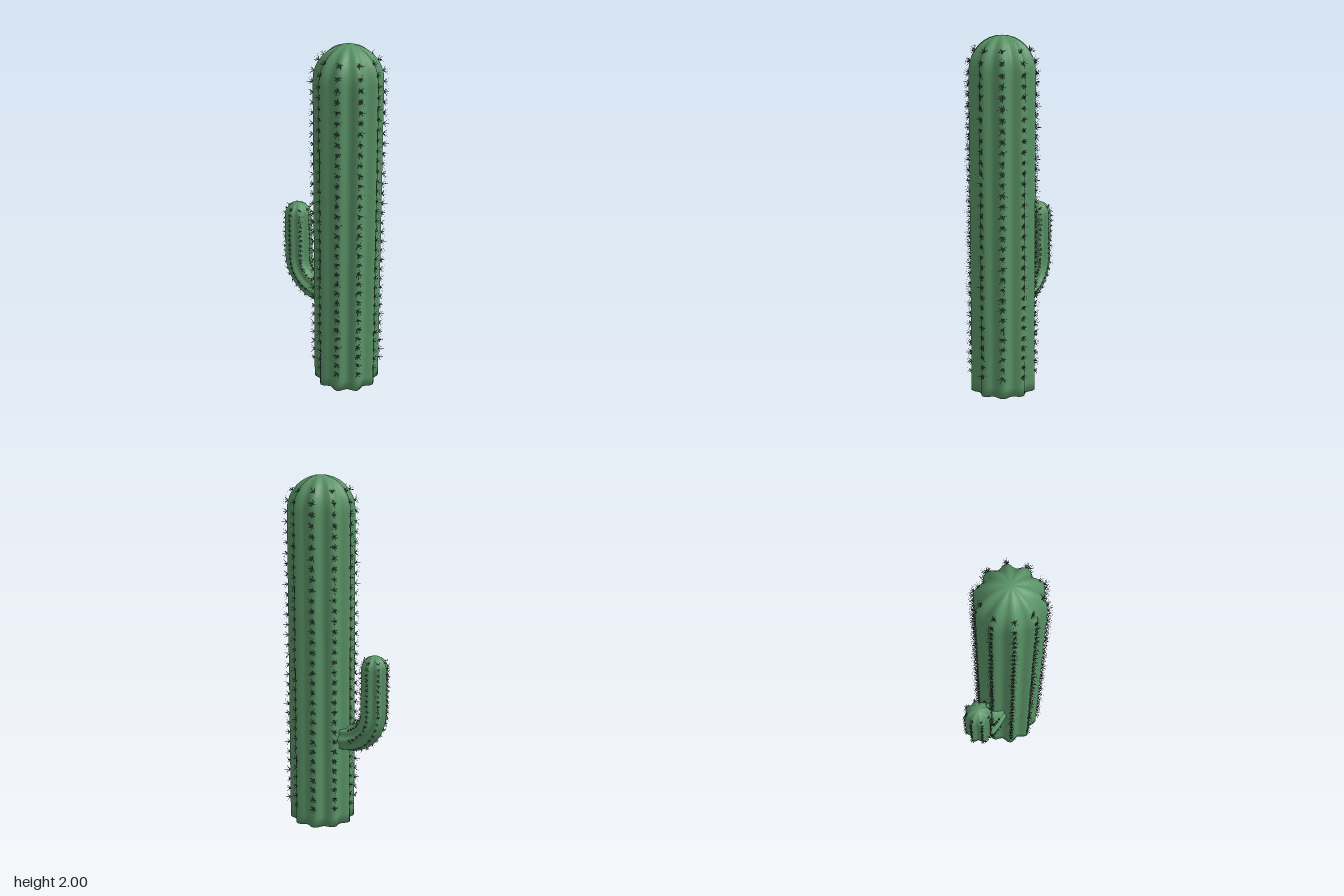
import * as THREE from 'three';
import { mergeGeometries, mergeVertices } from 'three/addons/utils/BufferGeometryUtils.js';

const SEG = 6; // facets per rib

// Straight upright axis of the trunk
const trunk = {
  length: 2, radius: 0.188, ribs: 10, valley: 0.85,
  axis: s => ({ p: new THREE.Vector3(0.107, s, 0), t: new THREE.Vector3(0, 1, 0) }),
};

// Arm axis: out of the trunk, quarter bend, then straight up
const BEND = 0.18, OUT = 0.06, ARC = BEND * Math.PI / 2;
const arm = {
  length: OUT + ARC + 0.33, radius: 0.077, ribs: 8, valley: 0.83,
  axis: s => {
    const a = THREE.MathUtils.clamp((s - OUT) / BEND, 0, Math.PI / 2);
    const t = new THREE.Vector3(-Math.cos(a), Math.sin(a), 0);
    const p = new THREE.Vector3(-OUT - BEND * Math.sin(a), 0.7 - BEND * Math.cos(a), 0);
    const extra = s < OUT ? s - OUT : Math.max(0, s - OUT - ARC);
    return { p: p.addScaledVector(t, extra), t };
  },
};

// Cross-section radius at distance s: constant, then a hemispherical tip
const domeRise = (stalk, s) => Math.max(0, s - (stalk.length - stalk.radius));
const radiusAt = (stalk, s) => Math.sqrt(Math.max(0, stalk.radius ** 2 - domeRise(stalk, s) ** 2));

// Direction around the axis at angle a
function radial(t, a) {
  return new THREE.Vector3(t.y * Math.cos(a), -t.x * Math.cos(a), Math.sin(a));
}

// Fluted skin, closed at both ends
function ribbedSkin(stalk) {
  const { length, radius, ribs, valley } = stalk;
  const rings = [[0, 0]], straight = length - radius;
  const steps = Math.ceil(straight / (radius * 0.3));
  for (let i = 0; i <= steps; i++) rings.push([straight * i / steps, radius]);
  for (let i = 1; i <= 8; i++) {
    const a = i / 8 * Math.PI / 2;
    rings.push([straight + radius * Math.sin(a), i === 8 ? 0 : radius * Math.cos(a)]);
  }
  const n = ribs * SEG, pos = [], index = [];
  rings.forEach(([s, r], i) => {
    const { p, t } = stalk.axis(s);
    for (let j = 0; j < n; j++) {
      const a = j / n * Math.PI * 2;
      const flute = (1 + valley) / 2 + (1 - valley) / 2 * Math.cos(a * ribs);
      pos.push(...radial(t, a).multiplyScalar(r * flute).add(p).toArray());
      if (i === rings.length - 1) continue;
      const k = (j + 1) % n, A = i * n + j, B = i * n + k;
      if (i < rings.length - 2) index.push(B, A + n, B + n);
      if (i > 0) index.push(A, A + n, B);
    }
  });
  let geo = new THREE.BufferGeometry();
  geo.setAttribute('position', new THREE.Float32BufferAttribute(pos, 3));
  geo.setIndex(index);
  geo = mergeVertices(geo, 1e-5);
  geo.computeVertexNormals();
  return geo;
}

// Bundle of thin needles fanning around +y, slightly irregular
function spineCluster(size, random) {
  const needles = [];
  const count = 10;
  for (let i = 0; i < count; i++) {
    const len = size * (i === 0 ? 1 : 0.75 + 0.3 * random());
    const cone = new THREE.ConeGeometry(size * 0.045, len, 3, 1, true);
    cone.translate(0, len / 2, 0);
    cone.rotateZ(i === 0 ? 0 : 0.5 + 0.7 * random());
    cone.rotateY(i / (count - 1) * Math.PI * 2 + random() * 0.4);
    needles.push(cone);
  }
  return mergeGeometries(needles);
}

// Rows of clusters along every rib crest
function spines(stalk, start, end, gap, size) {
  let seed = 7;
  const random = () => (seed = (seed * 16807) % 2147483647) / 2147483647;
  const variants = Array.from({ length: 5 }, () => spineCluster(size, random));
  const up = new THREE.Vector3(0, 1, 0), one = new THREE.Vector3(1, 1, 1), parts = [];
  for (let s = start; s <= end; s += gap) {
    const { p, t } = stalk.axis(s), r = radiusAt(stalk, s);
    for (let k = 0; k < stalk.ribs; k++) {
      const dir = radial(t, k / stalk.ribs * Math.PI * 2);
      const base = p.clone().addScaledVector(dir, r * 0.99);
      const normal = dir.multiplyScalar(r).addScaledVector(t, domeRise(stalk, s)).normalize();
      const turn = new THREE.Quaternion().setFromUnitVectors(up, normal);
      const m = new THREE.Matrix4().compose(base, turn, one);
      parts.push(variants[Math.floor(random() * 5)].clone().applyMatrix4(m));
    }
  }
  return mergeGeometries(parts);
}

export function createModel() {
  const group = new THREE.Group();
  group.name = 'cactus';
  const green = new THREE.MeshStandardMaterial({ color: 0x5a9367 });
  const dark = new THREE.MeshStandardMaterial({ color: 0x444448 });
  const add = (name, geo, mat) => {
    const mesh = new THREE.Mesh(geo, mat);
    mesh.name = name;
    group.add(mesh);
  };
  add('trunk', ribbedSkin(trunk), green);
  add('arm', ribbedSkin(arm), green);
  add('trunkSpines', spines(trunk, 0.12, 1.925, 0.058, 0.036), dark);
  add('armSpines', spines(arm, 0.13, arm.length - 0.025, 0.03, 0.021), dark);
  return group;
}
